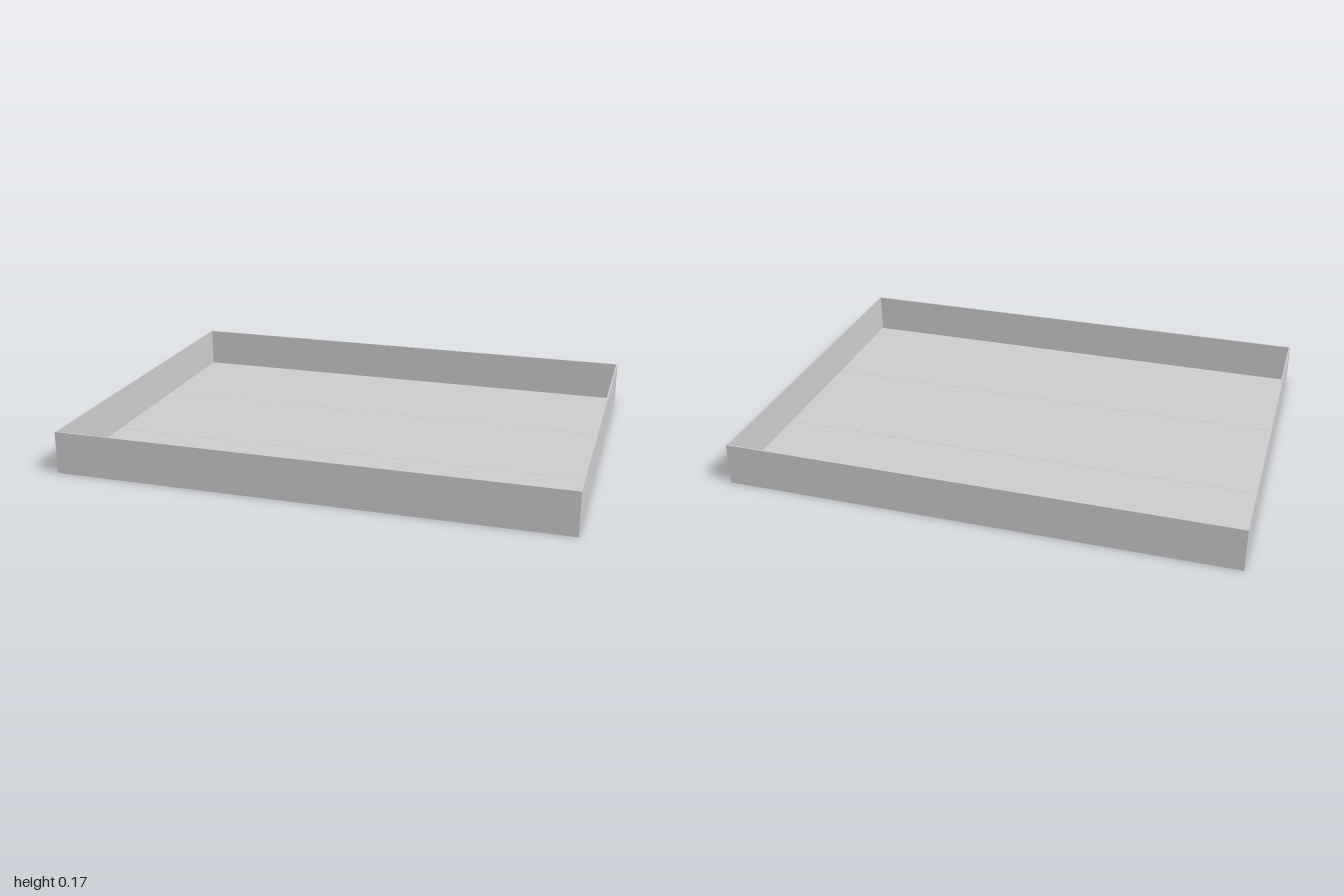
import * as THREE from 'three';

const WIDTH = 2, DEPTH = 1.5, HEIGHT = 0.17, THICK = 0.006;

export function createModel() {
  const tray = new THREE.Group();
  tray.name = 'tray';
  const material = new THREE.MeshStandardMaterial({ color: 0xcccccc });

  // Box panel standing on the given base height
  function panel(name, w, h, d, x, z) {
    const mesh = new THREE.Mesh(new THREE.BoxGeometry(w, h, d), material);
    mesh.name = name;
    mesh.position.set(x, h / 2, z);
    tray.add(mesh);
  }

  // Floor: three boards side by side, fitted inside the walls
  const innerWidth = WIDTH - 2 * THICK;
  const innerDepth = DEPTH - 2 * THICK;
  const gap = 0.001;
  const seams = [-innerDepth / 2, -0.25, 0.25, innerDepth / 2];
  for (let i = 0; i < 3; i++) {
    const z0 = seams[i] + (i > 0 ? gap / 2 : 0);
    const z1 = seams[i + 1] - (i < 2 ? gap / 2 : 0);
    panel(`floorBoard${i + 1}`, innerWidth, THICK, z1 - z0, 0, (z0 + z1) / 2);
  }

  // Long walls run the full width; side walls sit between them
  for (const s of [1, -1]) {
    panel(s > 0 ? 'frontWall' : 'backWall', WIDTH, HEIGHT, THICK, 0, s * (DEPTH - THICK) / 2);
    panel(s > 0 ? 'leftWall' : 'rightWall', THICK, HEIGHT, innerDepth, s * (WIDTH - THICK) / 2, 0);
  }

  return tray;
}
